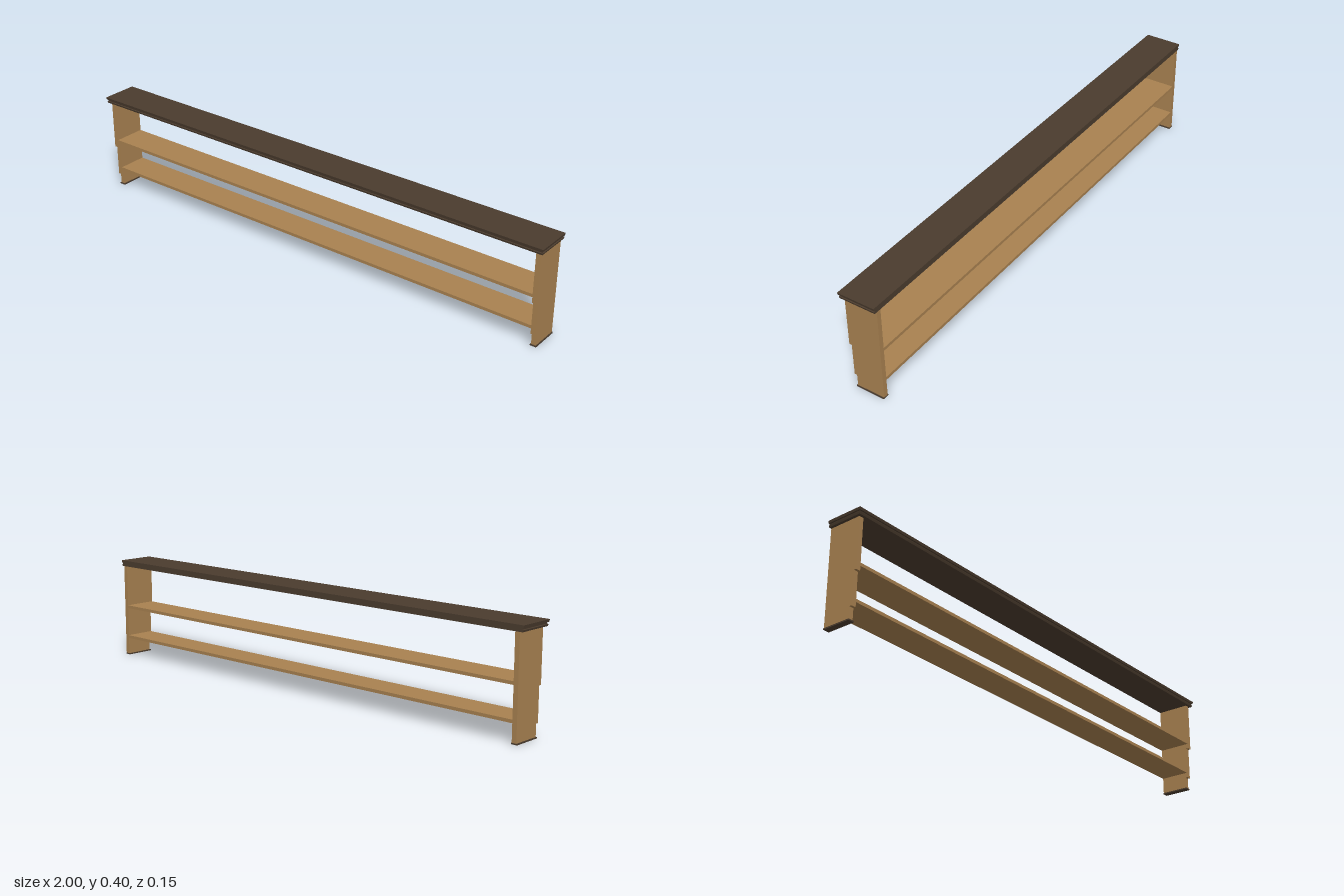
import * as THREE from 'three';

const wood = new THREE.MeshStandardMaterial({ color: 0xa88150 });
const dark = new THREE.MeshStandardMaterial({ color: 0x4b3c2e, flatShading: true });
const BACK = -0.073;

function box(name, material, x0, x1, y0, y1, z0, z1) {
  const mesh = new THREE.Mesh(new THREE.BoxGeometry(x1 - x0, y1 - y0, z1 - z0), material);
  mesh.position.set((x0 + x1) / 2, (y0 + y1) / 2, (z0 + z1) / 2);
  mesh.name = name;
  return mesh;
}

// Moulded slab: rectangles stacked by [height, inset], inset on front and ends, flush at the back
function mouldedSlab(halfWidth, front, profile) {
  const positions = [], index = [];
  for (const [y, d] of profile) {
    const x = halfWidth - d, z = front - d;
    positions.push(-x, y, z, x, y, z, x, y, BACK, -x, y, BACK);
  }
  for (let r = 0; r < profile.length - 1; r++) {
    for (let i = 0; i < 4; i++) {
      const a = r * 4 + i, b = r * 4 + (i + 1) % 4;
      index.push(a, b, b + 4, a, b + 4, a + 4);
    }
  }
  const t = (profile.length - 1) * 4;
  index.push(0, 2, 1, 0, 3, 2, t, t + 1, t + 2, t, t + 2, t + 3);
  const geometry = new THREE.BufferGeometry();
  geometry.setAttribute('position', new THREE.Float32BufferAttribute(positions, 3));
  geometry.setIndex(index);
  const flat = geometry.toNonIndexed();
  flat.computeVertexNormals();
  return flat;
}

// End panel outline, stepping forward twice towards the top
function panelGeometry(thickness) {
  const outline = [
    [BACK, 0.005], [0.037, 0.005], [0.037, 0.05], [0.047, 0.05],
    [0.047, 0.177], [0.057, 0.177], [0.057, 0.372], [BACK, 0.372],
  ];
  const shape = new THREE.Shape(outline.map(([z, y]) => new THREE.Vector2(-z, y)));
  const geometry = new THREE.ExtrudeGeometry(shape, { depth: thickness, bevelEnabled: false });
  geometry.rotateY(Math.PI / 2);
  return geometry;
}

export function createModel() {
  const group = new THREE.Group();
  group.name = 'wallShelf';

  // Dark top with a grooved edge
  const top = new THREE.Mesh(mouldedSlab(1, 0.073, [
    [0.372, 0.005], [0.379, 0.003], [0.38, 0.007],
    [0.385, 0.006], [0.386, 0.002], [0.395, 0],
  ]), dark);
  top.name = 'top';
  group.add(top);

  // End panels and their feet
  const thickness = 0.018, outer = 0.985;
  for (const side of [-1, 1]) {
    const label = side > 0 ? 'left' : 'right';
    const panel = new THREE.Mesh(panelGeometry(thickness), wood);
    panel.position.x = side > 0 ? outer - thickness : -outer;
    panel.name = label + 'Panel';
    group.add(panel);

    const middle = side * (outer - thickness / 2);
    group.add(box(label + 'Foot', dark, middle - 0.012, middle + 0.012, 0, 0.005, BACK, 0.04));
  }

  // Shelves between the panels
  const inner = outer - thickness;
  group.add(box('lowerShelf', wood, -inner, inner, 0.07, 0.082, BACK, 0.045));
  group.add(box('upperShelf', wood, -inner, inner, 0.197, 0.209, BACK, 0.055));
  return group;
}
